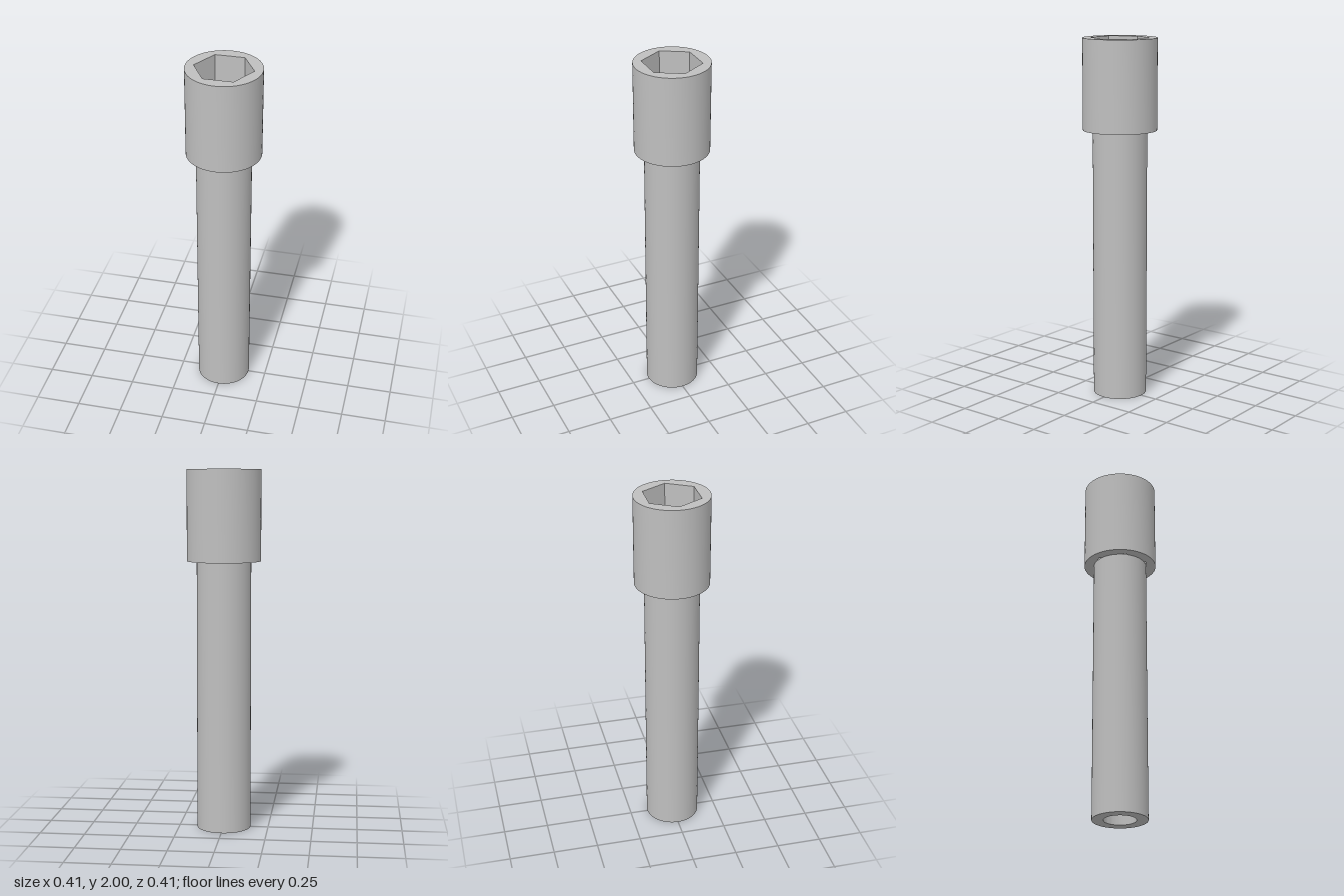
import * as THREE from 'three';
import { toCreasedNormals } from 'three/addons/utils/BufferGeometryUtils.js';

const SEGMENTS = 64;

// Regular polygon outline with a corner on +x
function polygon(radius, sides) {
  return Array.from({ length: sides }, (_, i) => {
    const a = (i / sides) * Math.PI * 2;
    return new THREE.Vector2(Math.cos(a) * radius, Math.sin(a) * radius);
  });
}

// Upright hollow prism: round outside, polygonal hole right through
function sleeve(name, outerRadius, holeRadius, holeSides, y, height, material) {
  const shape = new THREE.Shape(polygon(outerRadius, SEGMENTS));
  shape.holes.push(new THREE.Path(polygon(holeRadius, holeSides).reverse()));
  const extruded = new THREE.ExtrudeGeometry(shape, { depth: height, bevelEnabled: false });
  extruded.rotateX(-Math.PI / 2);
  extruded.translate(0, y, 0);
  extruded.clearGroups();
  const mesh = new THREE.Mesh(toCreasedNormals(extruded, Math.PI / 6), material);
  mesh.name = name;
  return mesh;
}

export function createModel() {
  const steel = new THREE.MeshStandardMaterial({ color: 0xbfbfbf });
  steel.name = 'steel grey';

  const group = new THREE.Group();
  group.name = 'hexSocketTube';
  // Round shaft with a round bore
  group.add(sleeve('shaft', 0.15, 0.088, SEGMENTS, 0, 1.5, steel));
  // Wider head with a hexagonal socket, open down to the shaft
  group.add(sleeve('socketHead', 0.204, 0.16, 6, 1.5, 0.5, steel));
  return group;
}
